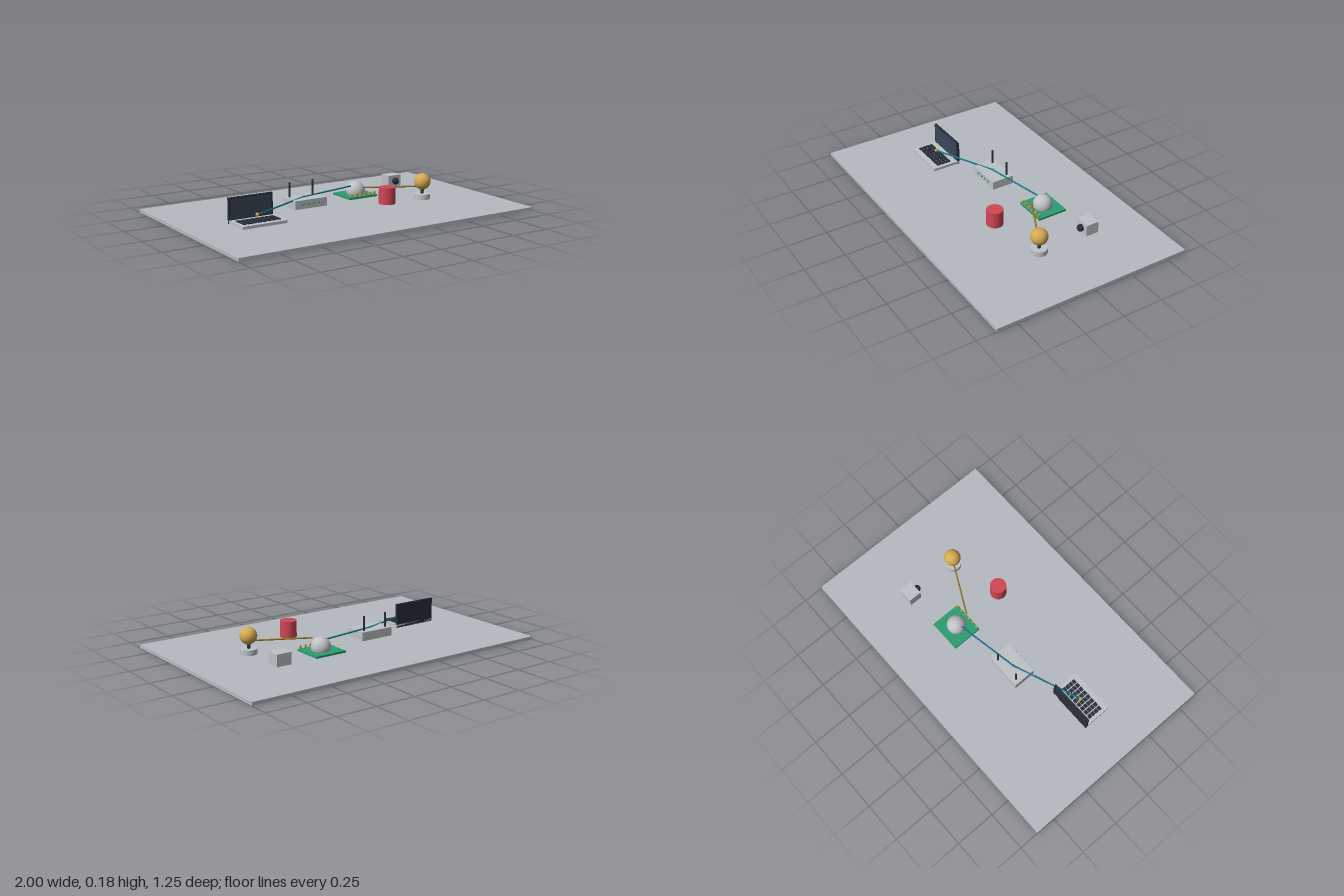
import * as THREE from 'three';

const mat = (name, color) => new THREE.MeshStandardMaterial({ name, color });

export function createModel() {
  const group = new THREE.Group();
  const M = {
    table: mat('table grey', 0xb5bbc1),
    shell: mat('shell grey', 0xbfc3c6),
    dark: mat('dark slate', 0x2a303c),
    screen: mat('screen blue', 0x3a4658),
    green: mat('board green', 0x2c9d70),
    red: mat('red', 0xd24754),
    gold: mat('gold', 0xd6aa52),
    teal: mat('teal', 0x16798c),
    bronze: mat('bronze', 0x9a7428),
    orange: mat('orange', 0xe09a30),
  };
  const add = (parent, name, geo, material, x, y, z) => {
    const m = new THREE.Mesh(geo, material);
    m.name = name;
    m.position.set(x, y, z);
    parent.add(m);
    return m;
  };
  const box = (p, name, material, w, h, d, x, y, z) =>
    add(p, name, new THREE.BoxGeometry(w, h, d), material, x, y, z);
  const cyl = (p, name, material, r, h, x, y, z, n = 24) =>
    add(p, name, new THREE.CylinderGeometry(r, r, h, n), material, x, y, z);
  const ball = (p, name, material, r, x, y, z, n = 24) =>
    add(p, name, new THREE.SphereGeometry(r, n, Math.ceil(n * 0.67)), material, x, y, z);
  const part = (name) => {
    const g = new THREE.Group();
    g.name = name;
    group.add(g);
    return g;
  };

  // Table slab
  box(group, 'tableTop', M.table, 2, 0.02, 1.25, 0, 0.01, 0);

  // Laptop with upright screen and key grid
  const laptop = part('laptop');
  box(laptop, 'laptopBase', M.shell, 0.285, 0.017, 0.18, -0.587, 0.036, 0.083);
  box(laptop, 'laptopLid', M.dark, 0.285, 0.15, 0.014, -0.587, 0.1, 0);
  box(laptop, 'laptopScreen', M.screen, 0.262, 0.115, 0.003, -0.587, 0.108, 0.0075);
  for (let row = 0; row < 4; row++)
    for (let col = 0; col < 8; col++)
      box(laptop, 'key', M.dark, 0.024, 0.006, 0.021,
        -0.587 + (col - 3.5) * 0.031, 0.0465, 0.092 + (row - 1.5) * 0.0245);

  // Router with two antennas and four status lights
  const router = part('router');
  box(router, 'routerBody', M.shell, 0.22, 0.053, 0.142, -0.17, 0.067, -0.087);
  for (const x of [-0.25, -0.09]) cyl(router, 'antenna', M.dark, 0.006, 0.09, x, 0.138, -0.13, 12);
  for (let i = 0; i < 4; i++)
    ball(router, 'statusLight', M.green, 0.007, -0.2245 + i * 0.0355, 0.07, -0.015, 12);

  // Circuit board with dome and contact pins
  const board = part('circuitBoard');
  box(board, 'boardPlate', M.green, 0.205, 0.012, 0.19, 0.247, 0.041, -0.17);
  ball(board, 'dome', M.shell, 0.059, 0.25, 0.065, -0.167);
  for (let i = 0; i < 6; i++)
    box(board, 'contactPin', i % 2 ? M.orange : M.gold, 0.011, 0.016, 0.011,
      0.162 + i * 0.0345, 0.059, -0.083);

  // Red canister
  cyl(group, 'canister', M.red, 0.05, 0.1, 0.25, 0.1, 0.167, 32);

  // Globe on a stand
  const globe = part('globe');
  cyl(globe, 'globeFoot', M.shell, 0.05, 0.032, 0.58, 0.038, 0.083);
  cyl(globe, 'globeNeck', M.dark, 0.01, 0.035, 0.58, 0.07, 0.083, 12);
  ball(globe, 'globeBall', M.gold, 0.051, 0.58, 0.13, 0.083);

  // Box camera facing the front
  const camera = part('boxCamera');
  box(camera, 'cameraBody', M.shell, 0.095, 0.072, 0.082, 0.582, 0.081, -0.249);
  ball(camera, 'cameraLens', M.dark, 0.022, 0.582, 0.081, -0.2);

  // Cables between the devices
  const cable = (name, material, r, a, b) => {
    const path = new THREE.LineCurve3(new THREE.Vector3(...a), new THREE.Vector3(...b));
    add(group, name, new THREE.TubeGeometry(path, 1, r, 10), material, 0, 0, 0);
  };
  const hub = [-0.18, 0.095, -0.087];
  cable('laptopCable', M.teal, 0.005, [-0.587, 0.076, 0.08], hub);
  cable('boardCable', M.teal, 0.005, hub, [0.25, 0.102, -0.167]);
  cable('globeCable', M.bronze, 0.005, [0.58, 0.1, 0.083], [0.25, 0.1, -0.085]);
  ball(group, 'cableJoint', M.teal, 0.008, ...hub, 12);
  ball(group, 'cableEnd', M.orange, 0.011, -0.587, 0.076, 0.08, 12);

  return group;
}
